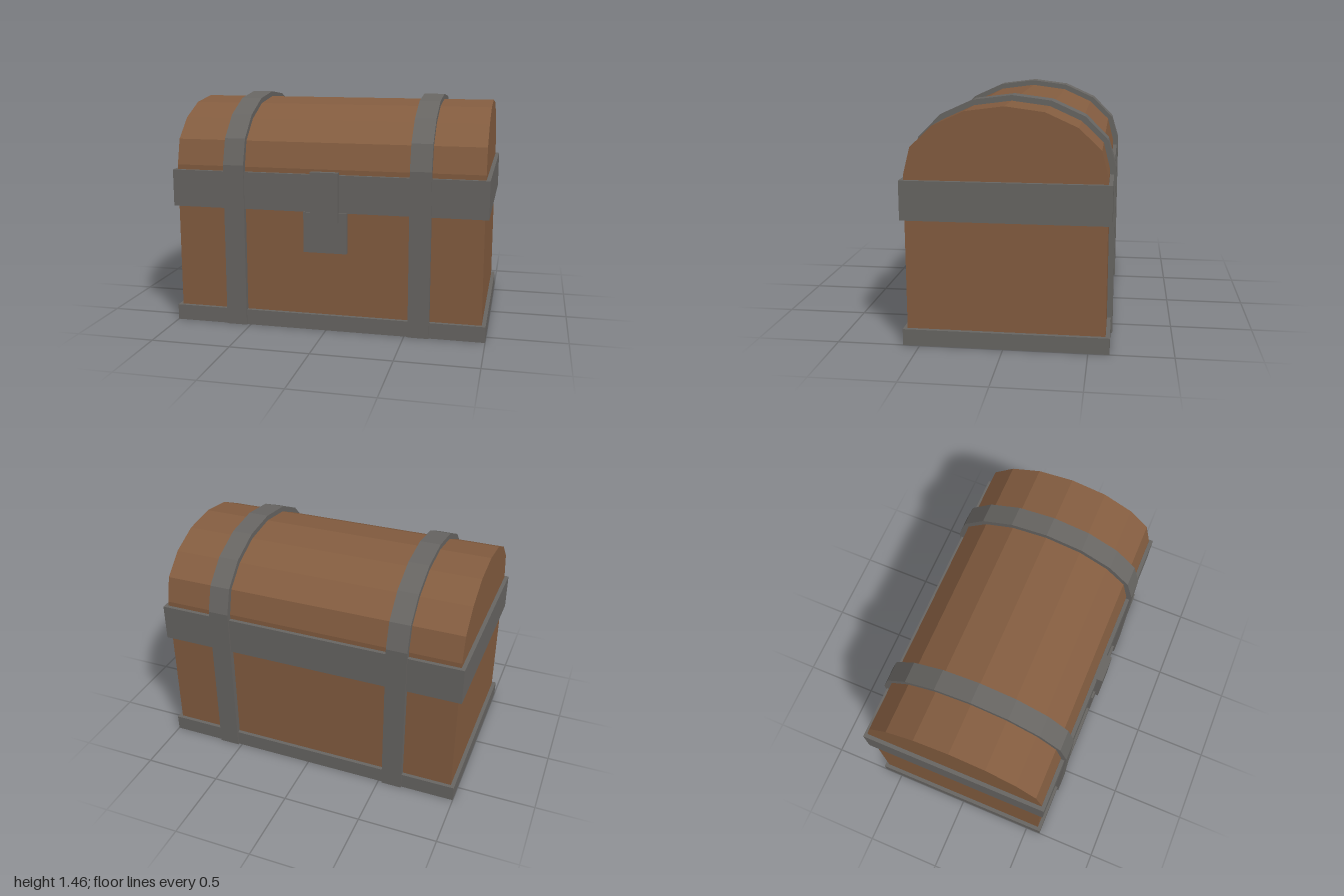
import * as THREE from 'three';

export function createModel() {
  const group = new THREE.Group();
  const wood = new THREE.MeshStandardMaterial({ color: 0x845d40 });
  wood.name = 'brown wood';
  const iron = new THREE.MeshStandardMaterial({ color: 0x686663 });
  iron.name = 'grey iron';
  const midZ = -0.0125;

  function add(name, geometry, material) {
    const mesh = new THREE.Mesh(geometry, material);
    mesh.name = name;
    group.add(mesh);
    return mesh;
  }

  function box(name, material, [x0, x1], [y0, y1], [z0, z1]) {
    const mesh = add(name, new THREE.BoxGeometry(x1 - x0, y1 - y0, z1 - z0), material);
    mesh.position.set((x0 + x1) / 2, (y0 + y1) / 2, (z0 + z1) / 2);
    return mesh;
  }

  // Full chest outline from half of the arch, listed as [distance from middle, height]
  function outline(half) {
    const left = half.map(([u, y]) => new THREE.Vector2(-u, y));
    const right = half.slice(0, -1).reverse().map(([u, y]) => new THREE.Vector2(u, y));
    return [...left, ...right];
  }

  // Extrude a side profile along x between x0 and x1
  function extrudeX(points, x0, x1) {
    const geometry = new THREE.ExtrudeGeometry(new THREE.Shape(points), { depth: x1 - x0, bevelEnabled: false });
    return geometry.rotateY(Math.PI / 2).translate(x0, 0, midZ);
  }

  const body = outline([[0.588, 0.002], [0.588, 1.03], [0.547, 1.19], [0.416, 1.315], [0.228, 1.4], [0, 1.43]]);
  const strapOuter = outline([[0.623, 0], [0.623, 1.042], [0.574, 1.205], [0.437, 1.342], [0.236, 1.433], [0, 1.463]]);
  const strapInner = outline([[0.58, 0], [0.58, 1.025], [0.54, 1.18], [0.41, 1.305], [0.225, 1.39], [0, 1.42]]);

  // Wooden chest with its faceted lid
  add('chestBody', extrudeX(body, -0.975, 0.975), wood);

  // Iron bands around the base and the rim; the underside of the base is wood
  const bandZ = [midZ - 0.6125, midZ + 0.6125];
  box('baseBand', [iron, iron, iron, wood, iron, iron], [-1, 1], [0, 0.1], bandZ);
  box('rimBand', iron, [-1, 1], [0.765, 1], bandZ);

  // Two straps running over the lid
  for (const side of [-1, 1]) {
    const x = side * 0.59;
    const ring = [...strapOuter, ...[...strapInner].reverse()];
    add(side > 0 ? 'leftStrap' : 'rightStrap', extrudeX(ring, x - 0.066, x + 0.066), iron);
  }

  // Lock plate and hasp
  box('lockPlate', iron, [-0.137, 0.137], [0.51, 0.765], [0.56, 0.613]);
  box('lockHasp', iron, [-0.088, 0.088], [0.708, 1.02], [0.598, 0.636]);

  return group;
}
